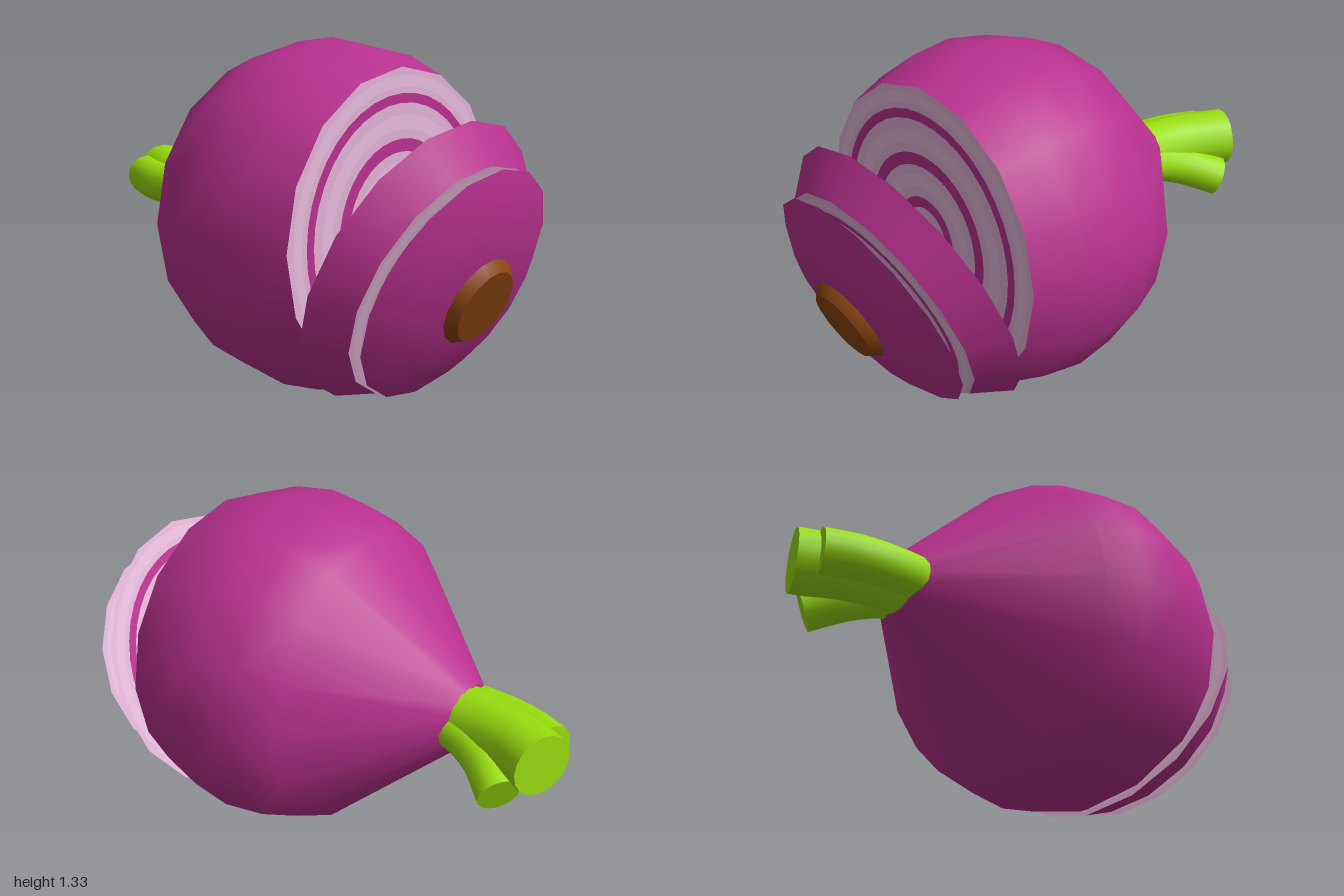
import * as THREE from 'three';

const mat = (name, color) => {
  const m = new THREE.MeshStandardMaterial({ color });
  m.name = name;
  return m;
};

export function createModel() {
  const skin = mat('purple skin', 0xb9318f);
  const flesh = mat('pale flesh', 0xe2b3d6);
  const fleshLight = mat('light flesh', 0xeabfe0);
  const green = mat('green shoot', 0x9ade10);
  const brown = mat('brown root', 0x8a450f);
  const SIDES = 16;

  const model = new THREE.Group();
  model.name = 'slicedOnion';

  function add(parent, name, geometry, material) {
    const mesh = new THREE.Mesh(geometry, material);
    mesh.name = name;
    parent.add(mesh);
    return mesh;
  }

  // Surface of revolution about the local x axis, from [x, radius] pairs
  function turned(points) {
    const g = new THREE.LatheGeometry(points.map(([x, r]) => new THREE.Vector2(r, x)), SIDES);
    return g.rotateZ(-Math.PI / 2);
  }

  // Flat cut with concentric layers; dir is +1 or -1 along local x
  function cutFace(parent, name, x, radius, dir) {
    const face = new THREE.Group();
    face.name = name;
    face.position.x = x;
    face.rotation.y = dir * Math.PI / 2;
    add(face, 'cutFlesh', new THREE.CircleGeometry(radius, SIDES), flesh);
    const ring = (label, a, b, m) => {
      add(face, label, new THREE.RingGeometry(a * radius, b * radius, 40), m).position.z = 0.003;
    };
    [[0.2, 0.27], [0.48, 0.56], [0.78, 0.84]].forEach(([a, b]) => ring('layerRing', a, b, skin));
    [[0.34, 0.42], [0.62, 0.71], [0.88, 0.95]].forEach(([a, b]) => ring('lightRing', a, b, fleshLight));
    parent.add(face);
  }

  // Main bulb, lying on its side
  const bulb = new THREE.Group();
  bulb.name = 'bulb';
  bulb.position.y = 0.667;
  add(bulb, 'bulbSkin', turned([
    [-0.585, 0.12], [-0.11, 0.575], [0.05, 0.64], [0.22, 0.663], [0.39, 0.64], [0.55, 0.575],
  ]), skin);
  const neck = add(bulb, 'neckCap', new THREE.CircleGeometry(0.12, SIDES), skin);
  neck.position.x = -0.585;
  neck.rotation.y = -Math.PI / 2;
  cutFace(bulb, 'bulbCut', 0.55, 0.575, 1);
  model.add(bulb);

  // Two slices leaning against the cut
  function slice(name, x, y) {
    const g = new THREE.Group();
    g.name = name;
    g.position.set(x, y, 0);
    g.rotation.z = -0.377;
    model.add(g);
    return g;
  }
  const middle = slice('middleSlice', 0.64, 0.55);
  add(middle, 'middleSkin', turned([[0, 0.57], [0.13, 0.467]]), skin);
  cutFace(middle, 'middleInnerCut', 0, 0.57, -1);
  cutFace(middle, 'middleOuterCut', 0.13, 0.467, 1);

  const end = slice('endSlice', 0.81, 0.5);
  add(end, 'endSkin', turned([[0, 0.465], [0.065, 0.335], [0.095, 0.17], [0.1, 0]]), skin);
  cutFace(end, 'endInnerCut', 0, 0.465, -1);

  // Root plate
  add(end, 'rootRim', turned([[0.08, 0.172], [0.098, 0.17], [0.132, 0.14]]), brown);
  const root = add(end, 'rootFace', new THREE.CircleGeometry(0.14, SIDES), brown);
  root.position.x = 0.132;
  root.rotation.y = Math.PI / 2;

  // Curved shoots with flat cut ends
  function shoot(name, radius, points) {
    const g = new THREE.Group();
    g.name = name;
    const curve = new THREE.CatmullRomCurve3(points.map((p) => new THREE.Vector3(...p)));
    add(g, 'stem', new THREE.TubeGeometry(curve, 8, radius, SIDES), green);
    const cap = add(g, 'stemEnd', new THREE.CircleGeometry(radius, SIDES), green);
    cap.position.copy(curve.getPoint(1));
    cap.quaternion.setFromUnitVectors(new THREE.Vector3(0, 0, 1), curve.getTangent(1));
    model.add(g);
  }
  shoot('largeShoot', 0.118, [[-0.48, 0.67, -0.015], [-0.62, 0.67, -0.025], [-0.78, 0.67, -0.065], [-0.945, 0.67, -0.145]]);
  shoot('frontShoot', 0.085, [[-0.48, 0.67, 0.055], [-0.62, 0.67, 0.058], [-0.78, 0.67, 0.035], [-0.92, 0.67, -0.025]]);
  shoot('lowerShoot', 0.08, [[-0.48, 0.655, -0.07], [-0.6, 0.635, -0.085], [-0.71, 0.6, -0.13], [-0.83, 0.545, -0.225]]);

  return model;
}
